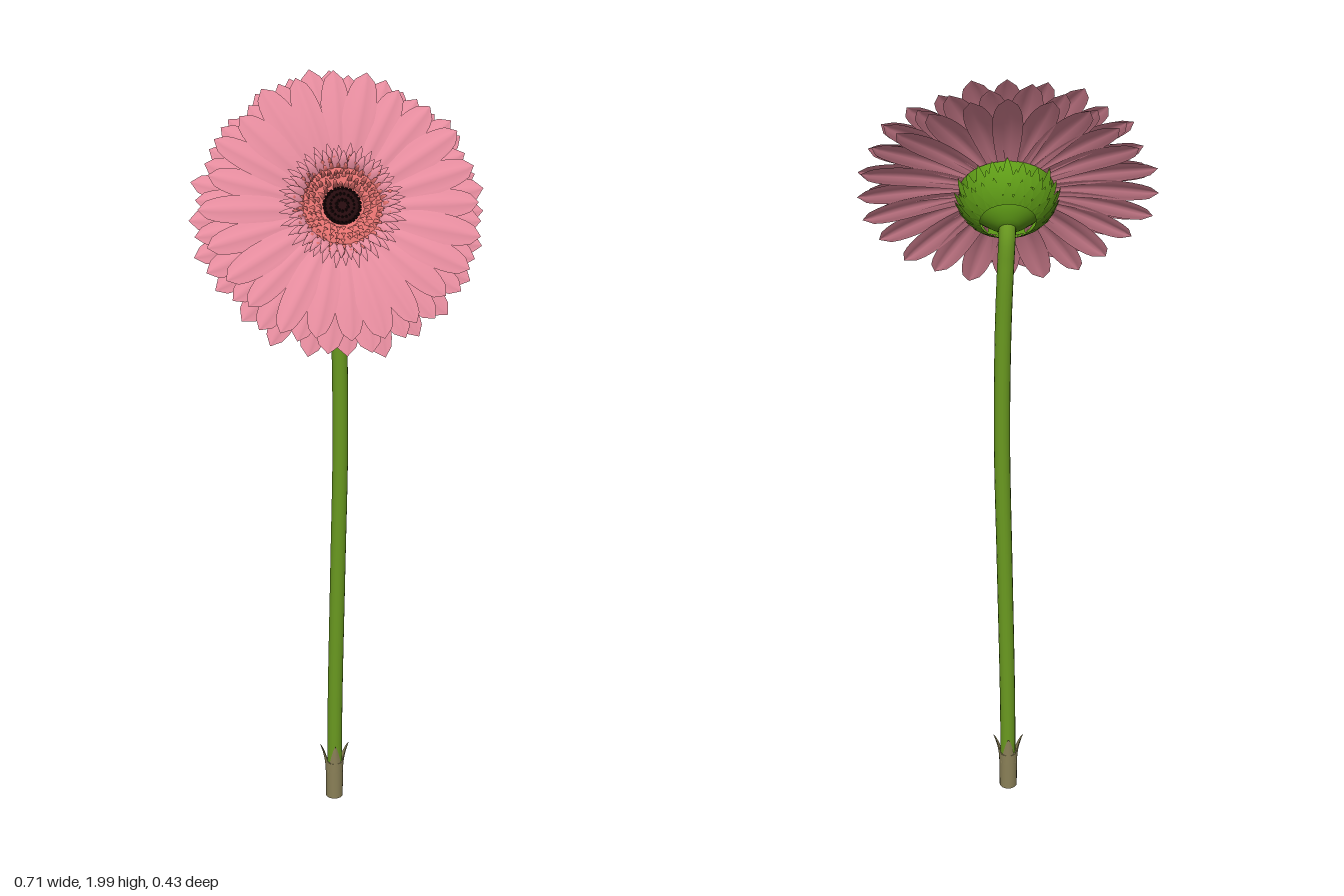
import * as THREE from 'three';
import { mergeGeometries } from 'three/addons/utils/BufferGeometryUtils.js';

const mat = (name, color, side = THREE.FrontSide) => {
  const m = new THREE.MeshStandardMaterial({ color, side });
  m.name = name;
  return m;
};

// Small seeded generator for natural variation
let seed = 7;
const rand = () => (seed = (seed * 16807) % 2147483647) / 2147483647;
const vary = (amount) => (rand() * 2 - 1) * amount;

// One blade along +y, facing +z. width(t) is the half width, lift(t) the height.
function blade(r0, r1, width, lift, cup, groove = 0, nx = 8, ny = 14) {
  const g = new THREE.PlaneGeometry(2, 1, nx, ny);
  const p = g.attributes.position;
  for (let i = 0; i < p.count; i++) {
    const s = p.getX(i), t = p.getY(i) + 0.5;
    const w = width(t);
    const z = lift(t) + cup * w * s * s + groove * w * Math.cos(s * Math.PI * 2);
    p.setXYZ(i, s * w, r0 + (r1 - r0) * t, z);
  }
  g.computeVertexNormals();
  return g;
}

// Rounded ray petal and pointed leaf outlines
const petalWidth = (w) => (t) =>
  w * (0.45 + 0.55 * Math.sin(Math.min(t / 0.7, 1) * Math.PI / 2)) *
  Math.sqrt(Math.max(0, 1 - Math.pow(Math.max(0, (t - 0.62) / 0.38), 2.2))) + 0.0005;
const leafWidth = (w) => (t) => w * Math.pow(1 - t, 0.7) + 0.0003;

// Repeats blades round the head axis
function ring(count, offset, make) {
  const parts = [];
  for (let i = 0; i < count; i++) {
    parts.push(make(i).rotateZ(((i + offset) / count) * Math.PI * 2 + vary(0.02)));
  }
  return mergeGeometries(parts);
}

export function createModel() {
  const model = new THREE.Group();
  model.name = 'flower';
  const pink = mat('petal pink', 0xe48b9d, THREE.DoubleSide);
  const coral = mat('floret coral', 0xe3716f, THREE.DoubleSide);
  const dark = mat('centre dark', 0x260b0e);
  const calyxGreen = mat('calyx green', 0x5f9c17, THREE.DoubleSide);
  const stemGreen = mat('stem green', 0x6a9a20);
  const olive = mat('sheath olive', 0x8b8158, THREE.DoubleSide);
  const add = (parent, name, geometry, material) => {
    const m = new THREE.Mesh(geometry, material);
    m.name = name;
    parent.add(m);
    return m;
  };

  // Head faces forward and up; its own axis is local +z
  const head = new THREE.Group();
  head.name = 'head';
  head.position.set(0, 1.69, 0.02);
  head.rotation.x = -0.55;
  model.add(head);

  // Three layers of ray petals: [name, offset, radius, base height, tip height]
  const layers = [
    ['backPetals', 0, 0.353, -0.025, -0.042],
    ['middlePetals', 0.5, 0.343, -0.008, 0.0],
    ['frontPetals', 0, 0.33, 0.012, 0.033],
  ];
  for (const [name, offset, radius, base, tip] of layers) {
    add(head, name, ring(24, offset, () => {
      const end = tip + vary(0.006);
      return blade(0.06, radius + vary(0.01), petalWidth(0.036 + vary(0.003)),
        (t) => base + (end - base) * t + 0.012 * Math.sin(t * Math.PI), -0.2, 0.05);
    }), pink);
  }

  // Short pointed petals round the disc
  for (let k = 0; k < 2; k++) {
    add(head, 'innerPetals', ring(34, k * 0.5, () =>
      blade(0.085, 0.15 - k * 0.015 + vary(0.006), leafWidth(0.014),
        (t) => 0.025 + k * 0.01 + 0.025 * Math.sin(t * 2.2), -0.3, 0, 4, 5)), pink);
  }

  // Raised disc beneath the florets, dipping at the middle
  const turned = (pts) => new THREE.LatheGeometry(
    pts.map(([r, z]) => new THREE.Vector2(r, z)), 40).rotateX(Math.PI / 2);
  add(head, 'disc', turned([[0.115, 0.0], [0.112, 0.03], [0.095, 0.043], [0.07, 0.044],
    [0.045, 0.036], [0, 0.03]]), coral);

  // Coral florets: small leaning blades in rings
  const florets = [];
  for (let k = 0; k < 5; k++) {
    const r = 0.05 + k * 0.013;
    florets.push(ring(24 + k * 5, k * 0.4, () => {
      const rise = 0.014 + rand() * 0.01;
      const start = r + vary(0.004);
      return blade(start, start + 0.016 + vary(0.005), leafWidth(0.0065),
        (t) => 0.038 + rise * Math.sin(t * 2.3), -0.4, 0, 2, 3);
    }));
  }
  add(head, 'florets', mergeGeometries(florets), coral);

  // Dark centre with a ragged edge of tiny buds
  add(head, 'centre', turned([[0.044, 0.03], [0.043, 0.044], [0.03, 0.047], [0, 0.045]]), dark);
  const buds = [];
  for (let k = 0; k < 3; k++) {
    buds.push(ring(10 + k * 9, k * 0.3, () =>
      new THREE.ConeGeometry(0.005, 0.014, 5).rotateX(Math.PI / 2)
        .translate(0, 0.014 + k * 0.014, 0.05 + vary(0.002))));
  }
  add(head, 'centreBuds', mergeGeometries(buds), dark);

  // Green cup behind the petals, with overlapping pointed bracts
  add(head, 'calyx', turned([[0.0, -0.127], [0.025, -0.125], [0.055, -0.108], [0.085, -0.08],
    [0.105, -0.05], [0.112, -0.025], [0.1, -0.015]]), calyxGreen);
  for (let k = 0; k < 3; k++) {
    const a0 = 0.55 + k * 0.22;
    add(head, 'bracts', ring(22, k * 0.5, () => {
      const g = blade(0, 1, leafWidth(0.016), () => 0, 0, 0, 2, 6);
      const p = g.attributes.position;
      const length = 0.5 + vary(0.08);
      for (let i = 0; i < p.count; i++) {
        const t = p.getY(i), a = a0 + length * t;
        p.setXYZ(i, p.getX(i), 0.117 * Math.sin(a) + 0.004 + 0.006 * t,
          -0.02 - 0.107 * Math.cos(a) - 0.003);
      }
      g.computeVertexNormals();
      return g;
    }), calyxGreen);
  }

  // Stem, nodding forward into the cup
  const path = new THREE.CatmullRomCurve3([
    [0, 0.01, -0.092], [0.002, 0.3, -0.091], [0.009, 0.7, -0.087], [0.015, 1.05, -0.085],
    [0.012, 1.35, -0.086], [0.006, 1.52, -0.088], [0.002, 1.6, -0.083], [0, 1.65, -0.055],
  ].map((p) => new THREE.Vector3(...p)));
  add(model, 'stem', new THREE.TubeGeometry(path, 60, 0.02, 16), stemGreen);

  // Sheath at the foot, with two flaring tips and two upright ones
  add(model, 'sheath', new THREE.CylinderGeometry(0.024, 0.023, 0.11, 20)
    .translate(0, 0.055, -0.092), olive);
  for (let i = 0; i < 4; i++) {
    const flare = i % 2 === 0 ? 0.016 : 0.001;
    const tip = blade(0.08, 0.165, leafWidth(0.02), (t) => 0.024 + flare * t * t, -0.5, 0, 6, 8);
    add(model, 'sheathTip', tip.rotateY((i + 1) * Math.PI / 2).translate(0, 0, -0.092), olive);
  }
  return model;
}
